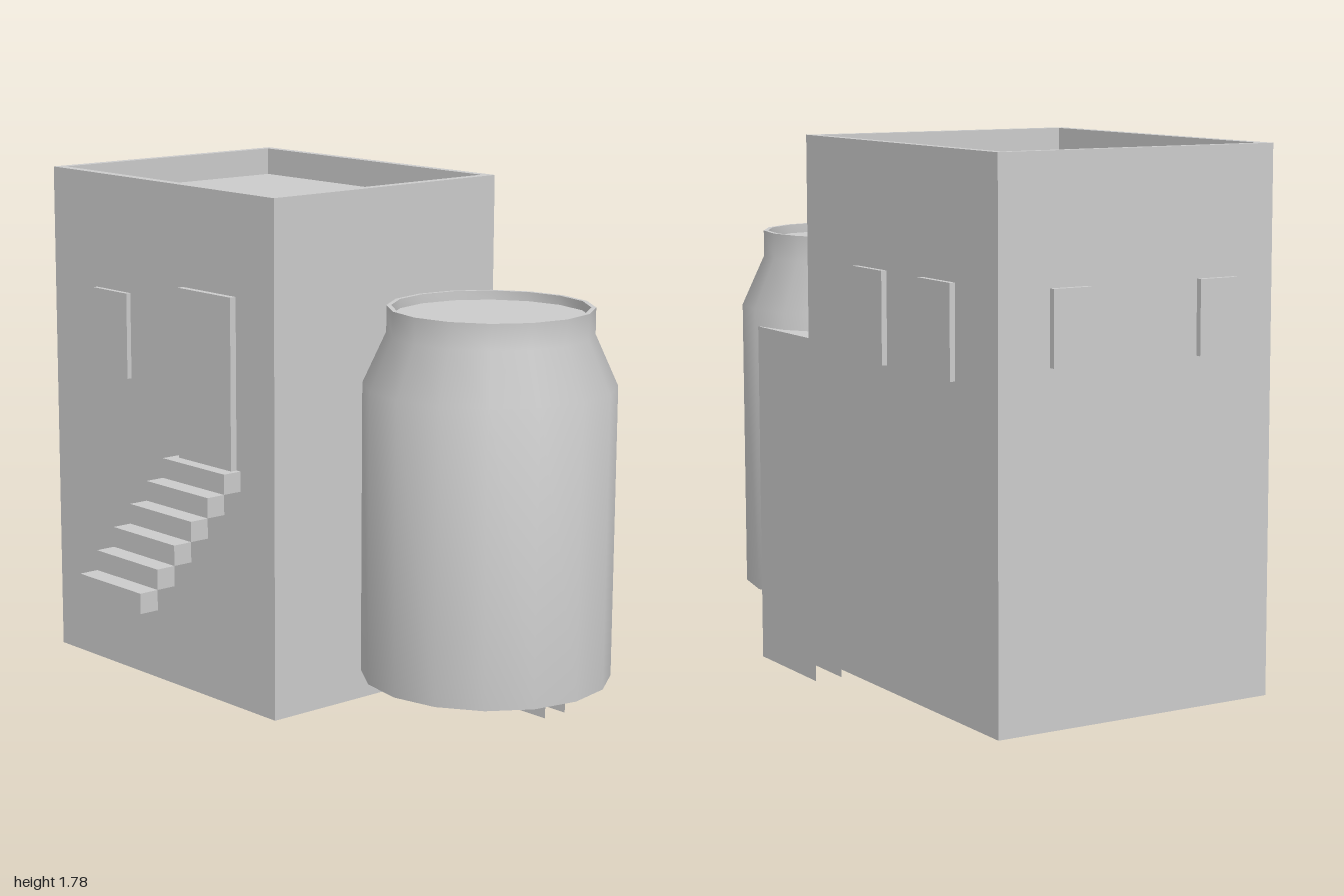
import * as THREE from 'three';
import { toCreasedNormals } from 'three/addons/utils/BufferGeometryUtils.js';

const grey = new THREE.MeshStandardMaterial({ color: 0xcccccc });
const greyDouble = new THREE.MeshStandardMaterial({ color: 0xcccccc, side: THREE.DoubleSide });

function add(parent, name, geometry, material = grey) {
  const mesh = new THREE.Mesh(geometry, material);
  mesh.name = name;
  parent.add(mesh);
  return mesh;
}

// Box given by its limits on each axis
function box(parent, name, [x0, x1], [y0, y1], [z0, z1]) {
  const mesh = add(parent, name, new THREE.BoxGeometry(x1 - x0, y1 - y0, z1 - z0));
  mesh.position.set((x0 + x1) / 2, (y0 + y1) / 2, (z0 + z1) / 2);
  return mesh;
}

// Stack of rectangular rings joined by flat quads; the last ring is capped
function rectangularShell(rings) {
  const corners = rings.map(({ x: [x0, x1], z: [z0, z1], y }) =>
    [[x0, y, z1], [x1, y, z1], [x1, y, z0], [x0, y, z0]]);
  const points = [];
  const quad = (a, b, c, d) => points.push(...a, ...b, ...c, ...a, ...c, ...d);
  for (let r = 0; r < corners.length - 1; r++) {
    for (let i = 0; i < 4; i++) {
      const j = (i + 1) % 4;
      quad(corners[r][i], corners[r][j], corners[r + 1][j], corners[r + 1][i]);
    }
  }
  quad(...corners[corners.length - 1]);
  const geometry = new THREE.BufferGeometry();
  geometry.setAttribute('position', new THREE.Float32BufferAttribute(points, 3));
  geometry.computeVertexNormals();
  return geometry;
}

export function createModel() {
  const model = new THREE.Group();
  model.name = 'houseWithTank';

  // House shell: open below, parapet around a sunken roof
  const outer = { x: [-0.98, 0.19], z: [-0.68, 0.285] };
  const inner = { x: [-0.95, 0.155], z: [-0.65, 0.25] };
  add(model, 'house', rectangularShell([
    { ...outer, y: 0.083 },
    { ...outer, y: 1.783 },
    { ...inner, y: 1.783 },
    { ...inner, y: 1.69 },
  ]), greyDouble);

  // Door and windows
  box(model, 'door', [-0.27, 0], [0.88, 1.45], [0.27, 0.308]);
  box(model, 'frontWindow', [-0.74, -0.555], [1.105, 1.395], [0.27, 0.302]);
  for (const x of [-0.74, -0.33]) {
    box(model, 'backWindow', [x, x + 0.187], [1.105, 1.395], [-0.698, -0.665]);
  }
  for (const z of [-0.505, 0.01]) {
    box(model, 'sideWindow', [-1, -0.965], [1.16, 1.39], [z, z + 0.132]);
  }

  // Floating stair treads, each a step lower and further out
  const stairs = new THREE.Group();
  stairs.name = 'stairs';
  model.add(stairs);
  const rise = 0.0667, run = 0.0685;
  for (let i = 0; i < 6; i++) {
    const top = 0.883 - i * rise;
    const back = 0.285 + i * run;
    box(stairs, 'step', [-0.3, 0.02], [top - rise, top], [back, back + run]);
  }

  // Water tank: open below, sloped shoulder and narrow neck
  const tank = new THREE.Group();
  tank.name = 'tank';
  tank.position.set(0.595, 0, -0.268);
  model.add(tank);
  const profile = [[0.405, 0.23], [0.405, 1.185], [0.33, 1.35], [0.33, 1.435], [0.315, 1.435], [0.315, 1.405]]
    .map(([r, y]) => new THREE.Vector2(r, y));
  add(tank, 'tankBody', toCreasedNormals(new THREE.LatheGeometry(profile, 16), 0.7), greyDouble);
  const lid = add(tank, 'tankLid', new THREE.CircleGeometry(0.315, 16), greyDouble);
  lid.rotation.x = -Math.PI / 2;
  lid.position.y = 1.405;

  // Connecting wall: only the top, front and back of a box
  const wall = box(model, 'connectingWall', [0.183, 0.572], [0, 1.13], [-0.672, -0.577]);
  const index = Array.from(wall.geometry.index.array);
  wall.geometry.setIndex([...index.slice(12, 18), ...index.slice(24, 36)]);
  wall.geometry.clearGroups();
  wall.material = greyDouble;

  return model;
}
